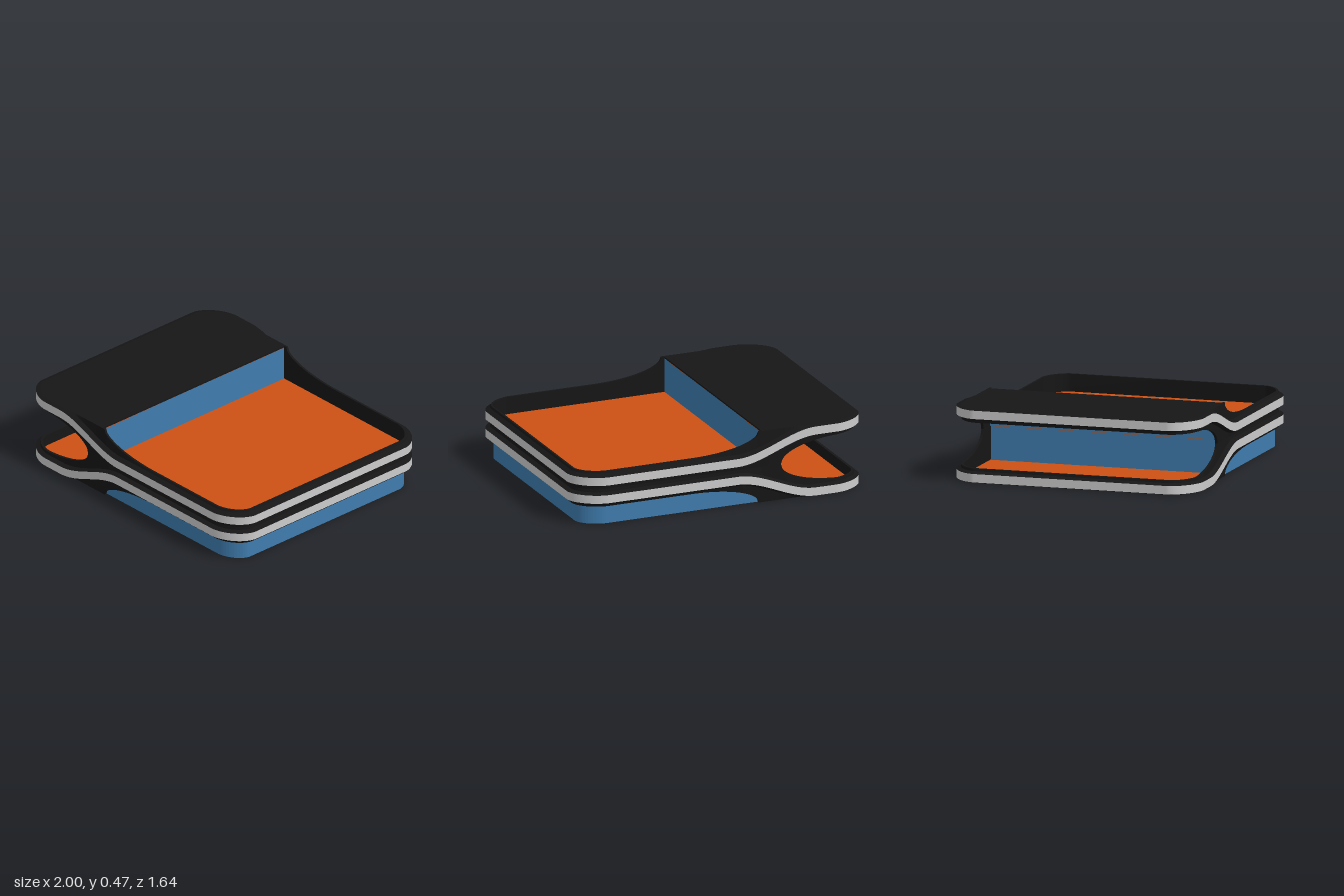
import * as THREE from 'three';
import { mergeGeometries } from 'three/addons/utils/BufferGeometryUtils.js';

const H = 0.475, MID = H / 2, CUT = -0.28;   // height, split plane, step between plate and tray
const CX = 0.78, CZ = 0.64, RX = 0.22, RZ = 0.18; // corner centre and radii

const paint = (color) => new THREE.MeshStandardMaterial({ color });
const black = paint(0x161616), grey = paint(0xcccccc), blue = paint(0x3f7cae), orange = paint(0xcd5014);

// Corner of the footprint inset by d, from the x side round to the z side
function corner(d, n = 14) {
  const pts = [];
  for (let i = 0; i <= n; i++) {
    const a = (i / n) * Math.PI / 2, e = 2 / 1.75;
    pts.push([CX + (RX - d) * Math.max(0, Math.cos(a)) ** e, CZ + (RZ - d) * Math.sin(a) ** e]);
  }
  return pts;
}

// Whole footprint inset by d, with the long sides finely divided
function ring(d) {
  const c = corner(d), side = [], n = 156;
  for (let i = 1; i < n; i++) side.push([CX - (2 * CX * i) / n, CZ + RZ - d]);
  const half = [...c, ...side, ...c.map(([x, z]) => [-x, z]).reverse()];
  return [...half, ...half.map(([x, z]) => [-x, -z])];
}

// Heights of the upper rim along x: strip centre, top edge, bottom edge
const stripY = (x) => 0.441 - 0.144 * THREE.MathUtils.smoothstep(x, -0.64, -0.1);
const topY = (x) => {
  if (x < -0.26) return H;
  const u = Math.min(0, (x - 0.2) / 0.46);
  return H - 0.12 * Math.sqrt(Math.max(0, 1 - u * u));
};
const bottomY = (x) => {
  const u = Math.max(0, (x + 0.85) / 0.44);
  return u >= 1 ? MID : MID + 0.147 * Math.sqrt(1 - u * u);
};

// Rim section: [inset, height rule], going from inside bottom, outward, up and back in
const section = [
  [0.05, bottomY],
  [0.033, bottomY],
  [0.03, (x) => Math.max(bottomY(x), stripY(x) - 0.04)],
  [0, (x) => stripY(x) - 0.027],
  [0, (x) => stripY(x) + 0.027],
  [0.03, (x) => Math.min(topY(x), stripY(x) + 0.045)],
  [0.036, topY],
  [0.05, topY],
  [0.05, bottomY],
];
const STRIP = 3; // face of the section that is the grey strip

// One band of the rim between two neighbouring section points
function band(k, lower) {
  const outer = ring(0), pos = [], index = [];
  const rails = [section[k], section[k + 1]].map(([d, f]) =>
    ring(d).map(([x, z], i) => {
      const y = f(outer[i][0]);
      return [x, lower ? H - y : y, z];
    }));
  const n = outer.length;
  for (let i = 0; i < n; i++) pos.push(...rails[0][i], ...rails[1][i]);
  for (let i = 0; i < n; i++) {
    const a = 2 * i, b = a + 1, c = 2 * ((i + 1) % n), e = c + 1;
    if (lower) index.push(a, c, b, b, c, e);
    else index.push(a, b, c, b, e, c);
  }
  const g = new THREE.BufferGeometry();
  g.setAttribute('position', new THREE.Float32BufferAttribute(pos, 3));
  g.setIndex(index);
  g.computeVertexNormals();
  return g;
}

// Flat slab on one side of the step (side 1 = +x, -1 = -x), between two heights
function slab(side, d, y0, y1) {
  const c = corner(d).map(([x, z]) => [x * side, z]);
  const w = CZ + RZ - d;
  const pts = [[CUT, -w], ...c.map(([x, z]) => [x, -z]).reverse(), ...c, [CUT, w]];
  const shape = new THREE.Shape(pts.map(([x, z]) => new THREE.Vector2(x, z)));
  return new THREE.ExtrudeGeometry(shape, { depth: y1 - y0, bevelEnabled: false })
    .rotateX(-Math.PI / 2).translate(0, y0, 0);
}

export function createModel() {
  const model = new THREE.Group();
  const add = (parent, name, geometry, material) => {
    const mesh = new THREE.Mesh(geometry, material);
    mesh.name = name;
    parent.add(mesh);
  };

  // Two mirrored shells: bevelled rim, grey strip, end plate with orange lining
  for (const lower of [false, true]) {
    const shell = new THREE.Group();
    shell.name = lower ? 'lowerShell' : 'upperShell';
    const faces = section.slice(1).map((_, k) => k).filter((k) => k !== STRIP);
    add(shell, 'rim', mergeGeometries(faces.map((k) => band(k, lower))), black);
    add(shell, 'strip', band(STRIP, lower), grey);
    const span = (y0, y1) => (lower ? [H - y1, H - y0] : [y0, y1]);
    add(shell, 'endPlate', slab(-1, 0.036, ...span(H - 0.01, H)), black);
    add(shell, 'plateLining', slab(-1, 0.045, ...span(H - 0.016, H - 0.01)), orange);
    model.add(shell);
  }

  // Tray floor, step wall and the closed box underneath
  const width = 2 * (CZ + RZ - 0.045);
  add(model, 'trayFloor', slab(1, 0.045, MID - 0.005, MID + 0.003), orange);
  add(model, 'stepWall', new THREE.BoxGeometry(0.01, MID - 0.01, width)
    .translate(CUT - 0.005, MID + (MID - 0.01) / 2, 0), blue);
  add(model, 'lowerBox', slab(1, 0.055, 0, MID - 0.005), blue);
  return model;
}
